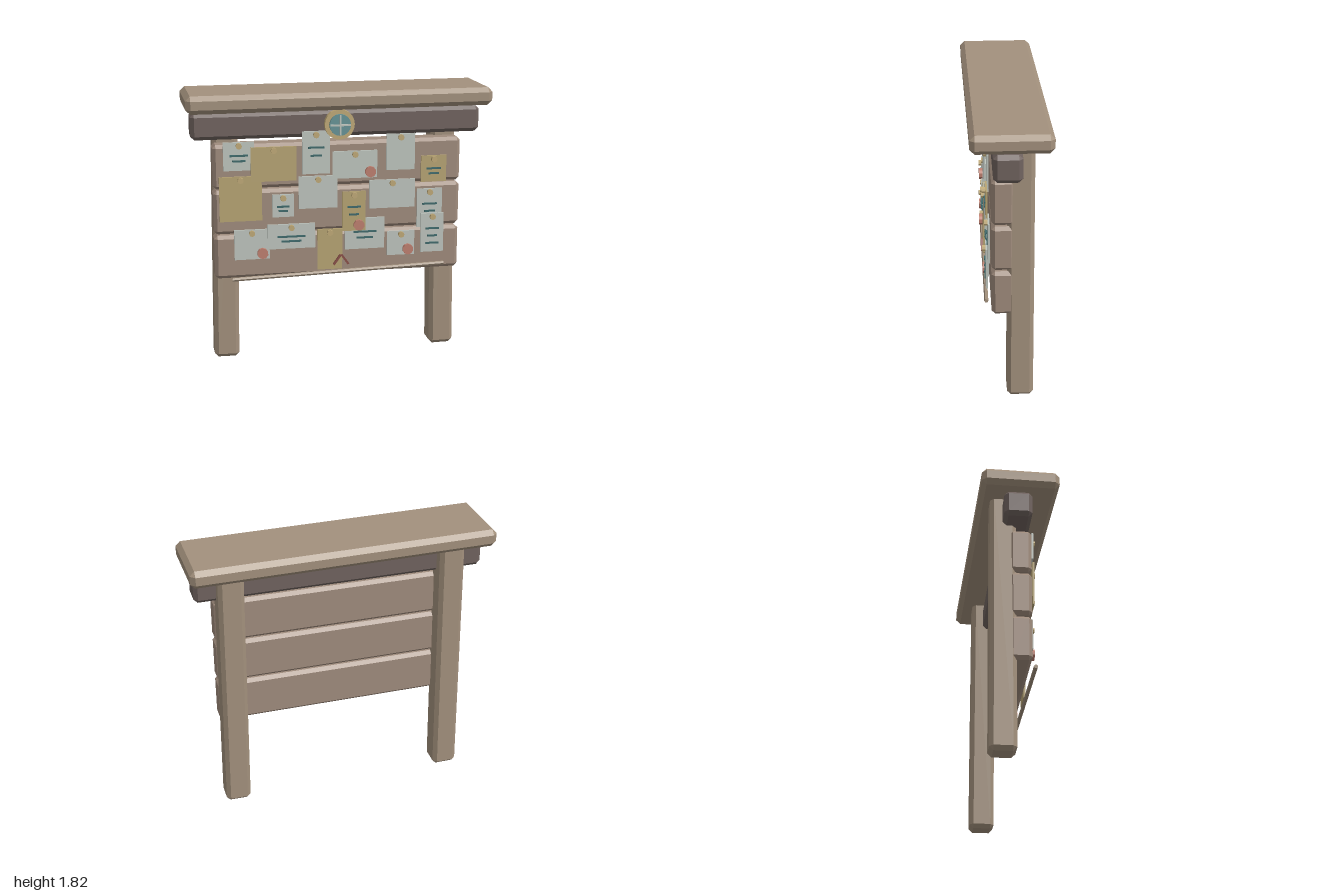
import * as THREE from 'three';
import { ConvexGeometry } from 'three/addons/geometries/ConvexGeometry.js';

const mat = (name, color) => {
  const m = new THREE.MeshStandardMaterial({ color });
  m.name = name;
  return m;
};

// Box with chamfered edges and corners
function chamferBox(w, h, d, c) {
  const pts = [];
  const [x, y, z] = [w / 2, h / 2, d / 2];
  for (const i of [-1, 1]) for (const j of [-1, 1]) for (const k of [-1, 1]) {
    pts.push(new THREE.Vector3(i * x, j * (y - c), k * (z - c)));
    pts.push(new THREE.Vector3(i * (x - c), j * y, k * (z - c)));
    pts.push(new THREE.Vector3(i * (x - c), j * (y - c), k * z));
  }
  return new ConvexGeometry(pts);
}

// Flat-shaded cylinder along y
function prism(r, length, sides) {
  const g = new THREE.CylinderGeometry(r, r, length, sides).toNonIndexed();
  g.computeVertexNormals();
  return g;
}

// Flat disc facing +z
const disc = (r, depth, sides) => prism(r, depth, sides).rotateX(Math.PI / 2);

export function createModel() {
  const root = new THREE.Group();
  root.name = 'noticeBoard';
  const wood = mat('wood', 0xa3917d);
  const plankWood = mat('plankWood', 0xa08c7d);
  const darkWood = mat('darkWood', 0x70635f);
  const white = mat('whitePaper', 0xbfc6bf);
  const tan = mat('tanPaper', 0xb8a574);
  const brass = mat('brass', 0xc0aa78);
  const teal = mat('teal', 0x669497);
  const ink = mat('ink', 0x3f6a6c);
  const wax = mat('wax', 0xbf8070);
  const redWood = mat('redWood', 0x8a5048);

  const add = (name, geo, material, x, y, z, parent = root) => {
    const m = new THREE.Mesh(geo, material);
    m.name = name;
    m.position.set(x, y, z);
    parent.add(m);
    return m;
  };

  // Frame: roof, crossbeam, two leaning posts
  add('roof', chamferBox(1.98, 0.115, 0.49, 0.03), wood, 0, 1.758, 0).rotation.y = 0.018;
  add('crossbeam', chamferBox(1.895, 0.172, 0.175, 0.025), darkWood, -0.003, 1.593, 0.005);
  for (const s of [-1, 1]) {
    const post = add(s < 0 ? 'rightPost' : 'leftPost', chamferBox(0.165, 1.74, 0.165, 0.025), wood, s * 0.732, 0.871, -0.078);
    post.rotation.z = s * 0.012;
  }

  // Three planks
  for (let i = 0; i < 3; i++)
    add('plank' + (i + 1), chamferBox(1.635, 0.29, 0.14, 0.022), plankWood, 0, 1.33 - i * 0.3, 0.03);

  // Thin rod under the notices
  add('rod', prism(0.013, 1.42, 6), wood, 0, 0.607, 0.13).rotation.z = -Math.PI / 2 + 0.028;

  // Notices: pin at top centre, text below it, seal at the lower right; every other one lies on top
  const pinGeo = disc(0.02, 0.02, 8);
  const sealGeo = disc(0.036, 0.022, 10);
  let count = 0;
  function notice(paper, x, top, w, h, { lines = 0, seal = false, pin = true } = {}) {
    const g = new THREE.Group();
    const z = 0.112 + (count % 2) * 0.014;
    g.name = 'notice' + ++count;
    g.position.set(x, top, z);
    root.add(g);
    add('paper', new THREE.BoxGeometry(w, h, 0.012), paper, 0, -h / 2, 0, g);
    for (let i = 0; i < lines; i++)
      add('textLine', new THREE.BoxGeometry(w * (i % 2 ? 0.42 : 0.58), 0.012, 0.008), ink, 0, -0.05 - h * (0.2 + 0.19 * i), 0.009, g);
    if (pin) add('pin', pinGeo, brass, 0, -0.023, 0.016, g);
    if (seal) add('waxSeal', sealGeo, wax, w / 2 - 0.048, 0.042 - h, 0.023, g);
  }
  const text = { lines: 2 };
  const sealed = { seal: true };
  // Upper row
  notice(white, -0.65, 1.495, 0.2, 0.185, text);
  notice(tan, -0.428, 1.46, 0.295, 0.225);
  notice(white, -0.15, 1.55, 0.18, 0.28, text);
  notice(white, 0.103, 1.415, 0.295, 0.18, sealed);
  notice(white, 0.41, 1.515, 0.19, 0.24);
  notice(tan, 0.63, 1.365, 0.17, 0.175, text);
  // Middle row
  notice(tan, -0.643, 1.27, 0.275, 0.295);
  notice(white, -0.37, 1.145, 0.14, 0.15, text);
  notice(white, -0.138, 1.255, 0.255, 0.215);
  notice(tan, 0.098, 1.145, 0.155, 0.265, { lines: 2, seal: true });
  notice(white, 0.61, 1.14, 0.17, 0.26, text);
  notice(white, 0.353, 1.215, 0.305, 0.19);
  // Lower row
  notice(white, -0.575, 0.915, 0.23, 0.2, sealed);
  notice(white, -0.318, 0.945, 0.315, 0.165, text);
  notice(white, 0.173, 0.96, 0.265, 0.21, { lines: 2, pin: false });
  notice(tan, -0.063, 0.9, 0.165, 0.275);
  notice(white, 0.418, 0.86, 0.185, 0.165, sealed);
  notice(white, 0.628, 0.975, 0.155, 0.265, { lines: 3 });

  // Small pair of leaning twigs
  for (const s of [-1, 1])
    add('twig', new THREE.BoxGeometry(0.014, 0.08, 0.014), redWood, 0.01 + s * 0.026, 0.69, 0.14).rotation.z = s * 0.62;

  // Round medallion on the crossbeam
  const medal = new THREE.Group();
  medal.name = 'medallion';
  medal.position.set(0, 1.593, 0);
  root.add(medal);
  add('rim', disc(0.098, 0.034, 20), brass, 0, 0, 0.13, medal);
  add('face', disc(0.07, 0.02, 16), teal, 0, 0, 0.156, medal);
  add('crossVertical', new THREE.BoxGeometry(0.012, 0.132, 0.012), white, 0, 0, 0.17, medal);
  add('crossHorizontal', new THREE.BoxGeometry(0.132, 0.012, 0.012), white, 0, 0, 0.17, medal);
  return root;
}
